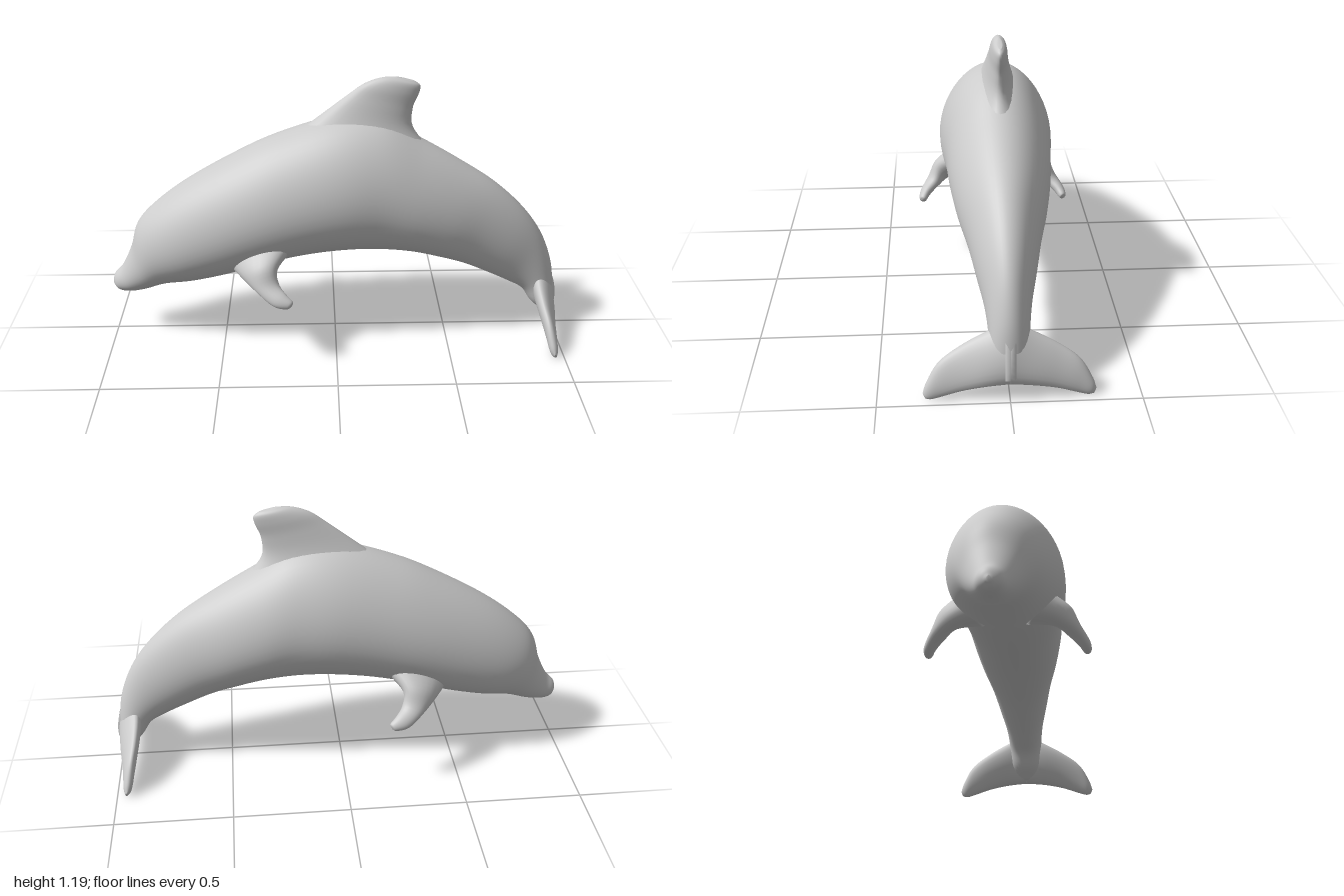
import * as THREE from 'three';

const material = new THREE.MeshStandardMaterial({ color: 0xcccccc });
const vec = (p) => new THREE.Vector3(...p);

// Smooth closed loft. Each row is [edge point A, edge point B, half thickness];
// the ring is an ellipse from A to B, thickened along dir. egg narrows the A side.
function loft(name, rows, dir, steps, sides, egg = 0) {
  const curve = (pts) => new THREE.CatmullRomCurve3(pts, false, 'catmullrom', 0.5);
  const curveA = curve(rows.map((r) => vec(r[0])));
  const curveB = curve(rows.map((r) => vec(r[1])));
  const curveT = curve(rows.map((r, i) => new THREE.Vector3(r[2], i, 0)));
  const normal = vec(dir).normalize();
  const pos = [];
  const index = [];
  for (let i = 0; i <= steps; i++) {
    const u = i / steps;
    const a = curveA.getPoint(u);
    const b = curveB.getPoint(u);
    const t = Math.max(0, curveT.getPoint(u).x);
    const mid = a.clone().add(b).multiplyScalar(0.5);
    const half = a.clone().sub(b).multiplyScalar(0.5);
    for (let j = 0; j < sides; j++) {
      const ang = (j / sides) * Math.PI * 2;
      const c = Math.cos(ang);
      const p = mid.clone().addScaledVector(half, c)
        .addScaledVector(normal, t * Math.sin(ang) * (1 - egg * c));
      pos.push(p.x, p.y, p.z);
      if (i < steps) {
        const k = i * sides + j;
        const n = i * sides + ((j + 1) % sides);
        index.push(k, n, k + sides, n, n + sides, k + sides);
      }
    }
  }
  // Close both ends with a fan
  [0, steps].forEach((ring) => {
    const s = ring * sides;
    for (let j = 1; j < sides - 1; j++) {
      index.push(s, ...(ring ? [s + j, s + j + 1] : [s + j + 1, s + j]));
    }
  });
  // Turn the faces outward if the signed volume is negative
  const at = (k) => new THREE.Vector3().fromArray(pos, k * 3);
  let volume = 0;
  for (let k = 0; k < index.length; k += 3) {
    volume += at(index[k]).dot(at(index[k + 1]).cross(at(index[k + 2])));
  }
  if (volume < 0) index.reverse();

  const geo = new THREE.BufferGeometry();
  geo.setAttribute('position', new THREE.Float32BufferAttribute(pos, 3));
  geo.setIndex(index);
  geo.computeVertexNormals();
  const mesh = new THREE.Mesh(geo, material);
  mesh.name = name;
  return mesh;
}

export function createModel() {
  const model = new THREE.Group();
  model.name = 'dolphin';

  // Body from snout to tail: back x, y, belly x, y, half width
  const body = [
    [-1.0, 0.255, -0.998, 0.235, 0.01],
    [-0.99, 0.29, -0.972, 0.212, 0.042],
    [-0.95, 0.335, -0.925, 0.205, 0.065],
    [-0.905, 0.43, -0.85, 0.22, 0.1],
    [-0.87, 0.54, -0.75, 0.255, 0.145],
    [-0.79, 0.63, -0.62, 0.275, 0.185],
    [-0.65, 0.735, -0.45, 0.315, 0.215],
    [-0.45, 0.85, -0.27, 0.37, 0.235],
    [-0.25, 0.945, -0.1, 0.405, 0.24],
    [0.0, 1.02, 0.06, 0.42, 0.237],
    [0.2, 1.01, 0.2, 0.418, 0.22],
    [0.38, 0.915, 0.33, 0.405, 0.205],
    [0.55, 0.815, 0.45, 0.375, 0.18],
    [0.7, 0.715, 0.57, 0.335, 0.145],
    [0.83, 0.595, 0.69, 0.28, 0.115],
    [0.92, 0.47, 0.78, 0.235, 0.09],
    [0.975, 0.33, 0.85, 0.195, 0.078],
    [0.993, 0.2, 0.895, 0.13, 0.075],
    [0.99, 0.09, 0.955, 0.08, 0.05],
  ].map(([ax, ay, bx, by, w]) => [[ax, ay, 0], [bx, by, 0], w]);
  model.add(loft('body', body, [0, 0, 1], 90, 48, 0.12));

  // Back fin, swept toward the tail: front edge, rear edge, half thickness
  const dorsal = [
    [[-0.22, 0.91, 0], [0.44, 0.84, 0], 0.12],
    [[-0.06, 1.035, 0], [0.335, 0.97, 0], 0.065],
    [[0.05, 1.12, 0], [0.328, 1.06, 0], 0.042],
    [[0.12, 1.17, 0], [0.352, 1.125, 0], 0.034],
    [[0.19, 1.195, 0], [0.357, 1.16, 0], 0.025],
    [[0.25, 1.2, 0], [0.335, 1.18, 0], 0.01],
  ];
  model.add(loft('dorsalFin', dorsal, [0, 0, 1], 28, 28));

  const flipper = [
    [[-0.46, 0.39, 0.14], [-0.18, 0.48, 0.14], 0.09],
    [[-0.4, 0.37, 0.225], [-0.25, 0.425, 0.235], 0.055],
    [[-0.335, 0.335, 0.29], [-0.245, 0.365, 0.265], 0.032],
    [[-0.27, 0.295, 0.33], [-0.215, 0.335, 0.3], 0.024],
    [[-0.215, 0.285, 0.338], [-0.188, 0.312, 0.318], 0.017],
    [[-0.195, 0.292, 0.332], [-0.187, 0.303, 0.325], 0.004],
  ];
  const fluke = [
    [[0.925, 0.32, -0.02], [0.98, 0.075, -0.02], 0.05],
    [[0.91, 0.265, 0.08], [0.98, 0.065, 0.09], 0.04],
    [[0.915, 0.21, 0.18], [0.972, 0.045, 0.18], 0.03],
    [[0.93, 0.15, 0.265], [0.965, 0.02, 0.25], 0.024],
    [[0.945, 0.075, 0.312], [0.962, 0.006, 0.295], 0.018],
    [[0.955, 0.03, 0.328], [0.962, 0.01, 0.318], 0.006],
  ];

  // Paired flippers and tail flukes, mirrored across z
  for (const [side, s] of [['Near', 1], ['Far', -1]]) {
    const mirror = (rows) => rows.map(([a, b, t]) => [
      [a[0], a[1], a[2] * s], [b[0], b[1], b[2] * s], t,
    ]);
    model.add(loft('flipper' + side, mirror(flipper), [0, 0.7, 0.7 * s], 24, 24));
    model.add(loft('tailFluke' + side, mirror(fluke), [0.9, 0.35, 0], 24, 24));
  }
  return model;
}
